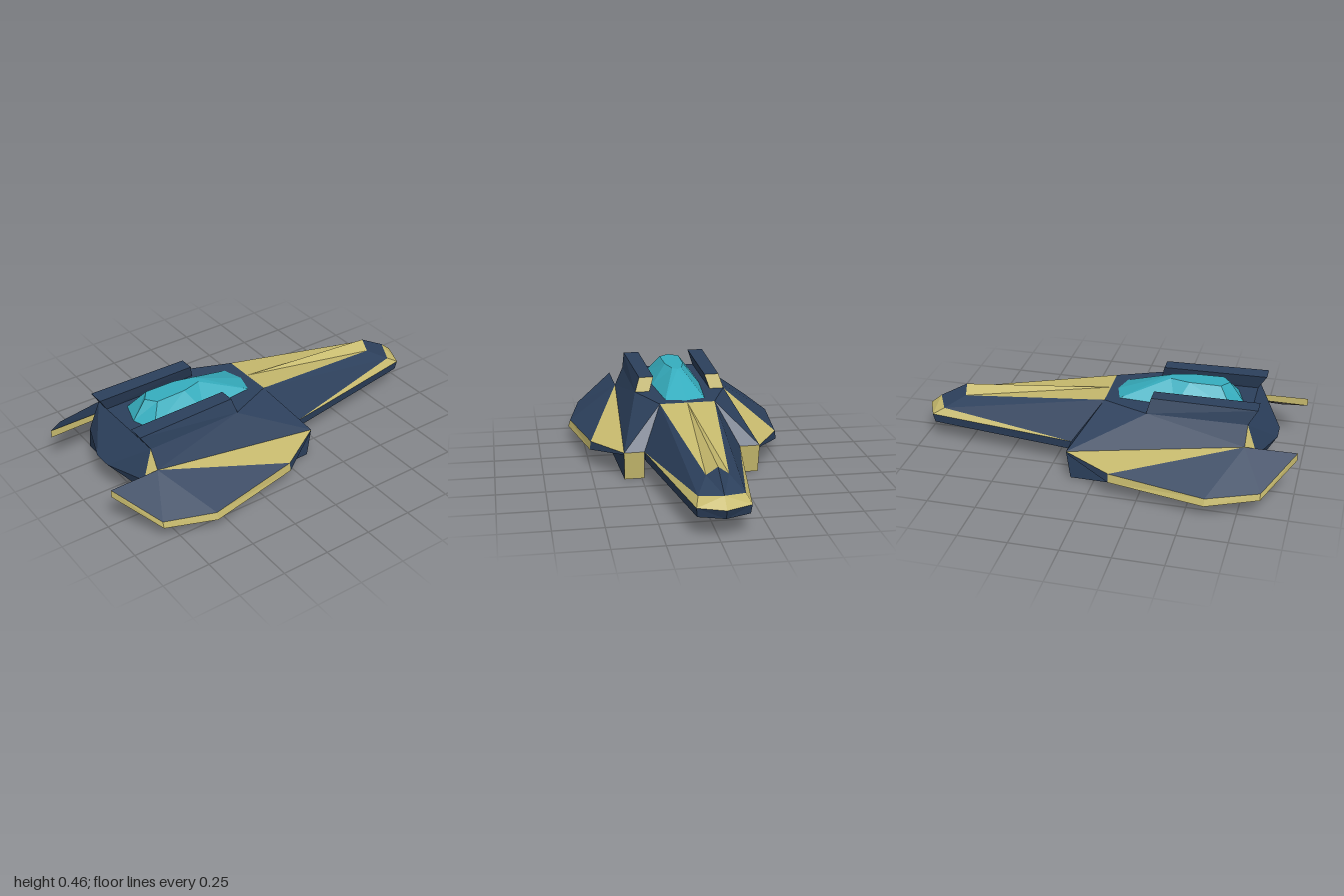
import * as THREE from 'three';

const NAVY = 0x2c405c, GOLD = 0xc8bb6e, TEAL = 0x36aebf, GREY = 0x6c6868;

// Flat polygons, fanned into triangles that face away from the part's centre,
// and repeated on the other side of z = 0.
function facets(name, color, centre, polys) {
  const pos = [], a = new THREE.Vector3(), b = new THREE.Vector3(), c = new THREE.Vector3();
  const mid = new THREE.Vector3(), n = new THREE.Vector3();
  for (const s of [1, -1]) {
    mid.set(centre[0], centre[1], centre[2] * s);
    for (const p of polys) {
      for (let i = 1; i < p.length - 1; i++) {
        const tri = [a, b, c];
        [p[0], p[i], p[i + 1]].forEach((q, k) => tri[k].set(q[0], q[1], q[2] * s));
        n.crossVectors(b.clone().sub(a), c.clone().sub(a));
        if (n.dot(a.clone().add(b).add(c).divideScalar(3).sub(mid)) < 0) tri.reverse();
        tri.forEach(v => pos.push(v.x, v.y, v.z));
      }
    }
  }
  const geo = new THREE.BufferGeometry();
  geo.setAttribute('position', new THREE.Float32BufferAttribute(pos, 3));
  geo.computeVertexNormals();
  const mat = new THREE.MeshStandardMaterial({ color, flatShading: true, side: THREE.DoubleSide });
  const mesh = new THREE.Mesh(geo, mat);
  mesh.name = name;
  return mesh;
}

// Side walls between two rings of equal length
const walls = (r0, r1, closed = true) => r0.slice(0, closed ? undefined : -1).map((p, i) => {
  const j = (i + 1) % r0.length;
  return [p, r0[j], r1[j], r1[i]];
});

export function createModel() {
  const model = new THREE.Group();
  model.name = 'spacecraft';
  const ship = new THREE.Group();
  ship.name = 'ship';
  const add = (...args) => ship.add(facets(...args));

  // Shared hull corners, one half only
  const deckMid = [0, 0.355, 0], deckFront = [0, 0.355, 0.145], deckSide = [-0.24, 0.355, 0.242];
  const deckRear = [-0.745, 0.355, 0.245], deckRearMid = [-0.745, 0.355, 0];
  const shoulder = [0.15, 0.15, 0.25], podTop = [0.15, 0.15, 0.355], wingRoot = [-0.74, 0.255, 0.29];
  const beltNose = [0.945, 0.15, 0.13], upperNose = [0.885, 0.185, 0.112];
  const tip = [1, 0.15, 0], upperTip = [0.94, 0.2, 0];
  const ridgeEnd = [0.79, 0.285, 0], ridgeSide = [0.78, 0.244, 0.055];
  const shoulderLow = [0.15, 0.103, 0.245], noseLow = [0.935, 0.103, 0.125], tipLow = [0.98, 0.103, 0];
  const tail = [-0.88, 0.2, 0.05], tailMid = [-0.88, 0.2, 0], tailSide = [-0.8, 0.2, 0.26];
  const rearLow = [-0.77, 0.1, 0.245], rearLowMid = [-0.77, 0.1, 0];
  const knee = [0.15, 0.103, 0], keel = [-0.65, 0.057, 0];

  // Hull
  const core = [0, 0.2, 0];
  add('hull', NAVY, core, [
    [deckMid, deckFront, deckSide, deckRear, deckRearMid],
    [deckFront, shoulder, podTop], [deckFront, podTop, deckSide],
    [deckSide, podTop, wingRoot], [deckSide, wingRoot, deckRear],
    [deckFront, shoulder, upperNose, ridgeSide],
    [ridgeSide, upperNose, upperTip, ridgeEnd],
    [shoulder, beltNose, noseLow, shoulderLow], [beltNose, tip, tipLow, noseLow],
    [deckRear, deckRearMid, tailMid, tail], [deckRear, tail, tailSide],
    [tail, tailMid, rearLowMid, rearLow], [tail, tailSide, rearLow],
    [noseLow, shoulderLow, knee],
    [shoulderLow, keel, rearLow], [rearLow, keel, rearLowMid],
  ]);
  add('noseTrim', GOLD, core, [
    [shoulder, beltNose, upperNose], [beltNose, tip, upperTip, upperNose],
    [deckMid, deckFront, ridgeSide], [deckMid, ridgeSide, ridgeEnd],
  ]);
  add('tailTrim', GOLD, core, [[deckRear, wingRoot, tailSide]]);
  add('belly', GREY, core, [[noseLow, tipLow, knee], [shoulderLow, knee, keel]]);

  // Canopy
  const glassLow = [[-0.69, 0.355, 0], [-0.65, 0.355, 0.125], [-0.36, 0.355, 0.13],
    [-0.07, 0.355, 0.105], [-0.04, 0.355, 0]];
  const glassHigh = [[-0.62, 0.455, 0], [-0.58, 0.455, 0.053], [-0.42, 0.455, 0.05],
    [-0.32, 0.455, 0.025], [-0.3, 0.455, 0]];
  add('canopy', TEAL, [-0.4, 0.38, 0], [...walls(glassLow, glassHigh, false), glassHigh]);

  // Fins beside the canopy
  const finFront = [[-0.235, 0.355, 0.165], [-0.235, 0.355, 0.242], [-0.255, 0.43, 0.217], [-0.255, 0.43, 0.14]];
  const finRear = [[-0.745, 0.355, 0.165], deckRear, [-0.79, 0.43, 0.23], [-0.79, 0.43, 0.145]];
  const finCentre = [-0.5, 0.39, 0.195];
  add('fins', NAVY, finCentre, [...walls(finFront, finRear), finRear]);
  add('finFronts', GOLD, finCentre, [finFront]);

  // Landing pods
  const podFront = [shoulder, podTop, [0.13, 0, 0.352], [0.13, 0, 0.25]];
  const podRear = [tailSide, wingRoot, [-0.75, 0, 0.378], [-0.75, 0, 0.27]];
  const podCentre = [-0.3, 0.1, 0.31];
  const podSides = walls(podFront, podRear);
  add('pods', NAVY, podCentre, [podSides[0], podSides[1], podSides[3], podRear]);
  add('podSoles', GREY, podCentre, [podSides[2]]);
  add('podFronts', GOLD, podCentre, [podFront]);

  // Wings
  const wingTop = [wingRoot, [-1, 0.255, 0.292], [-0.85, 0.128, 0.498], [-0.59, 0.105, 0.567],
    [-0.1, 0.138, 0.5], podTop];
  const drop = [0.035, 0.04, 0.033, 0.037, 0.045, 0.01];
  const grow = [0, 0, 0.008, 0.011, 0.006, 0];
  const wingLow = wingTop.map((p, i) => [p[0], p[1] - drop[i], p[2] + grow[i]]);
  const wingCentre = [-0.5, 0.155, 0.42];
  const wingEdge = walls(wingTop, wingLow);
  add('wingTops', NAVY, wingCentre, [wingTop.slice(0, 5), wingEdge[4]]);
  add('wingTrim', GOLD, wingCentre, [
    [wingTop[0], wingTop[4], wingTop[5]], ...wingEdge.slice(0, 4), wingEdge[5],
  ]);
  add('wingUndersides', GREY, wingCentre, [wingLow]);

  // Slight yaw of the whole craft
  ship.rotation.y = 0.017;
  ship.position.z = -0.01;
  model.add(ship);
  return model;
}
